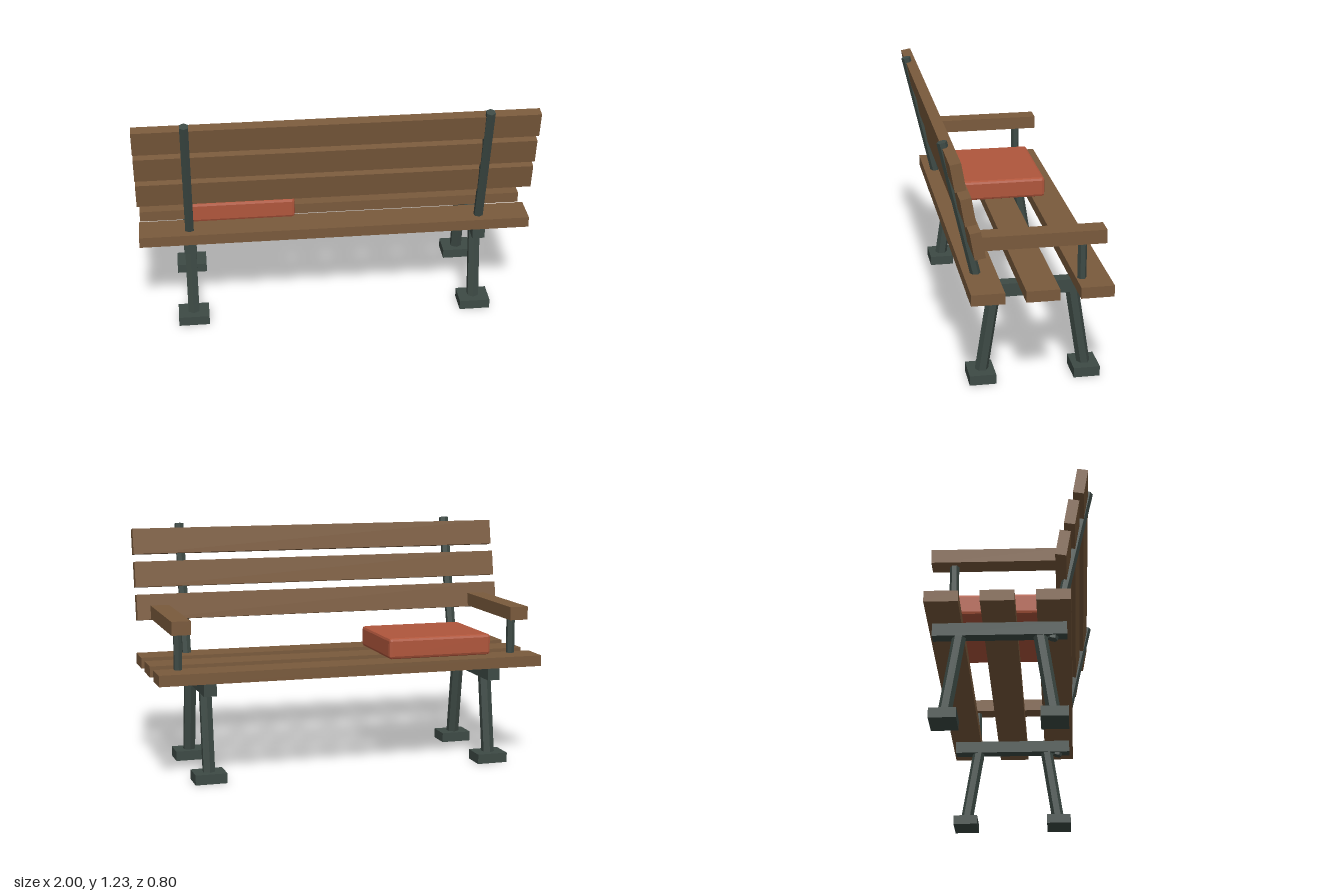
import * as THREE from 'three';
import { RoundedBoxGeometry } from 'three/addons/geometries/RoundedBoxGeometry.js';

export function createModel() {
  const bench = new THREE.Group();
  bench.name = 'parkBench';

  const mat = (name, color) => {
    const m = new THREE.MeshStandardMaterial({ color, flatShading: true });
    m.name = name;
    return m;
  };
  const wood = mat('wood', 0x7a5a3c);
  const iron = mat('iron', 0x3d4a45);
  const fabric = mat('redFabric', 0xb0563c);

  const add = (name, geometry, material, x, y, z) => {
    const mesh = new THREE.Mesh(geometry, material);
    mesh.name = name;
    mesh.position.set(x, y, z);
    bench.add(mesh);
    return mesh;
  };
  const box = (name, material, w, h, d, x, y, z) =>
    add(name, new THREE.BoxGeometry(w, h, d), material, x, y, z);

  // Hexagonal bar leaning in the y-z plane from (y0, z0) up to (y1, z1)
  const bar = (name, r, x, y0, z0, y1, z1) => {
    const length = Math.hypot(y1 - y0, z1 - z0);
    const mesh = add(name, new THREE.CylinderGeometry(r, r, length, 6), iron,
      x, (y0 + y1) / 2, (z0 + z1) / 2);
    mesh.rotation.x = Math.atan2(z1 - z0, y1 - y0);
  };

  // Seat slats
  for (const z of [-0.32, -0.06, 0.2]) {
    box('seatSlat', wood, 2, 0.056, 0.16, 0, 0.532, z);
  }

  // Leaning back slats
  for (const [y, z] of [[0.803, 0.247], [0.97, 0.29], [1.138, 0.335]]) {
    box('backSlat', wood, 2, 0.132, 0.053, 0, y, z).rotation.x = 0.175;
  }

  for (const side of [-1, 1]) {
    const x = side * 0.745;

    // Crossbar, splayed legs and feet
    box('crossbar', iron, 0.064, 0.066, 0.64, x, 0.472, -0.06);
    bar('backLeg', 0.033, x, 0.03, 0.195, 0.46, 0.13);
    bar('frontLeg', 0.033, x, 0.03, -0.318, 0.46, -0.25);
    box('backFoot', iron, 0.16, 0.05, 0.13, x, 0.025, 0.197);
    box('frontFoot', iron, 0.16, 0.05, 0.13, x, 0.025, -0.318);

    // Post carrying the backrest
    bar('backPost', 0.025, x, 0.425, 0.19, 1.225, 0.373);

    // Armrest and its support
    box('armrest', wood, 0.096, 0.068, 0.635, side * 0.882, 0.781, -0.0575);
    bar('armrestPost', 0.022, side * 0.882, 0.55, -0.268, 0.75, -0.268);
  }

  // Cushion with chamfered edges
  const cushion = new RoundedBoxGeometry(0.555, 0.108, 0.464, 1, 0.015);
  add('cushion', cushion, fabric, -0.478, 0.615, -0.077);

  return bench;
}
